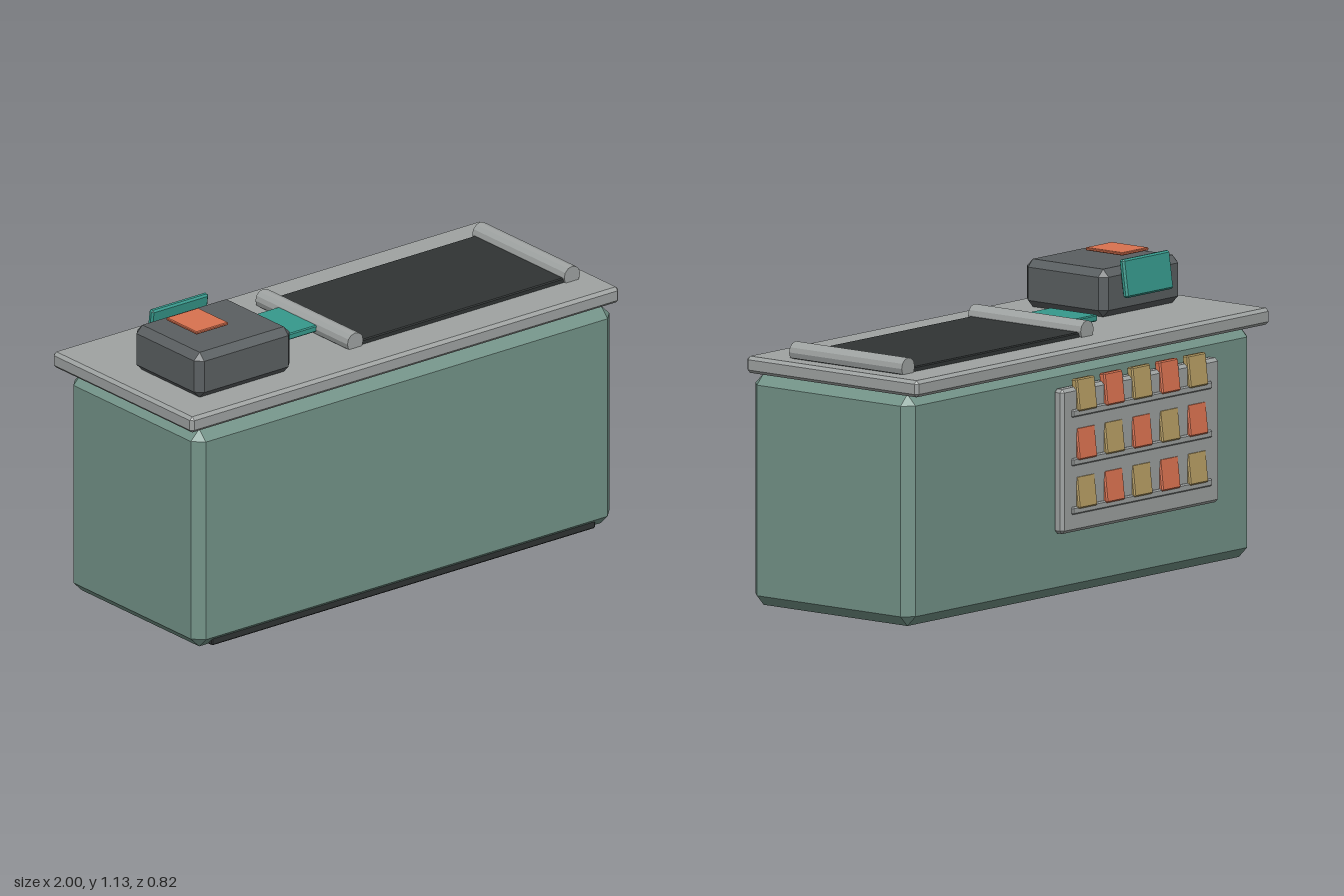
import * as THREE from 'three';
import { ConvexGeometry } from 'three/addons/geometries/ConvexGeometry.js';

const mat = (color) => new THREE.MeshStandardMaterial({ color, flatShading: true });
const M = {
  body: mat(0x739388), grey: mat(0x9fa3a2), dark: mat(0x303434), register: mat(0x5a5f61),
  teal: mat(0x36998c), orange: mat(0xd97250), tan: mat(0xb59c62),
};

// Box with every edge cut flat by c
function chamferBox(w, h, d, c) {
  const points = [];
  for (const sx of [-1, 1]) for (const sy of [-1, 1]) for (const sz of [-1, 1]) {
    for (let full = 0; full < 3; full++) {
      const p = [w / 2, h / 2, d / 2].map((v, i) => (i === full ? v : v - c));
      points.push(new THREE.Vector3(p[0] * sx, p[1] * sy, p[2] * sz));
    }
  }
  return new ConvexGeometry(points);
}

function add(parent, name, geometry, material, x, y, z) {
  const mesh = new THREE.Mesh(geometry, material);
  mesh.name = name;
  mesh.position.set(x, y, z);
  parent.add(mesh);
  return mesh;
}

// Chamfered box given by its limits on each axis
function block(parent, name, material, [x0, x1], [y0, y1], [z0, z1], c) {
  return add(parent, name, chamferBox(x1 - x0, y1 - y0, z1 - z0, c), material,
    (x0 + x1) / 2, (y0 + y1) / 2, (z0 + z1) / 2);
}

export function createModel() {
  const model = new THREE.Group();
  model.name = 'checkoutCounter';

  // Cabinet, kick strip and worktop
  block(model, 'cabinet', M.body, [-0.978, 0.975], [0, 0.857], [-0.35, 0.412], 0.039);
  block(model, 'kickStrip', M.dark, [-0.9, 0.89], [0, 0.035], [0.37, 0.4], 0.005);
  block(model, 'worktop', M.grey, [-1, 1], [0.863, 0.925], [-0.41, 0.406], 0.012);

  // Conveyor belt with a roller at each end
  const conveyor = new THREE.Group();
  conveyor.name = 'conveyor';
  model.add(conveyor);
  block(conveyor, 'belt', M.dark, [-0.145, 0.928], [0.92, 0.943], [-0.272, 0.245], 0.004);
  for (const x of [-0.115, 0.897]) {
    const roller = add(conveyor, 'roller', new THREE.CylinderGeometry(0.037, 0.037, 0.536, 12),
      M.grey, x, 0.947, -0.014);
    roller.rotation.x = Math.PI / 2;
  }

  // Scanner plate beside the belt
  block(model, 'scannerPlate', M.teal, [-0.325, -0.115], [0.937, 0.962], [-0.155, 0.07], 0.004);

  // Cash register with tilted screen and floating key panel
  const register = new THREE.Group();
  register.name = 'cashRegister';
  model.add(register);
  block(register, 'registerBody', M.register, [-0.878, -0.432], [0.925, 1.102], [-0.095, 0.293], 0.027);
  const screen = add(register, 'screen', chamferBox(0.265, 0.142, 0.024, 0.007), M.teal, -0.653, 1.062, -0.111);
  screen.rotation.x = 0.14;
  block(register, 'keyPanel', M.orange, [-0.785, -0.635], [1.121, 1.132], [-0.012, 0.165], 0.003);

  // Display rack on the back: three ledges holding five tilted packets each
  const rack = new THREE.Group();
  rack.name = 'displayRack';
  rack.position.x = -0.29;
  model.add(rack);
  block(rack, 'rackPanel', M.grey, [-0.445, 0.445], [0.24, 0.775], [-0.392, -0.345], 0.012);
  const packet = chamferBox(0.105, 0.12, 0.028, 0.005);
  for (let row = 0; row < 3; row++) {
    const y = 0.745 - row * 0.18;
    block(rack, 'ledge', M.grey, [-0.395, 0.395], [y - 0.078, y - 0.05], [-0.4, -0.385], 0.005);
    for (let col = 0; col < 5; col++) {
      const color = (row + col) % 2 ? M.orange : M.tan;
      const mesh = add(rack, 'packet', packet, color, (col - 2) * 0.157, y, -0.386);
      mesh.rotation.x = 0.12;
    }
  }
  return model;
}
